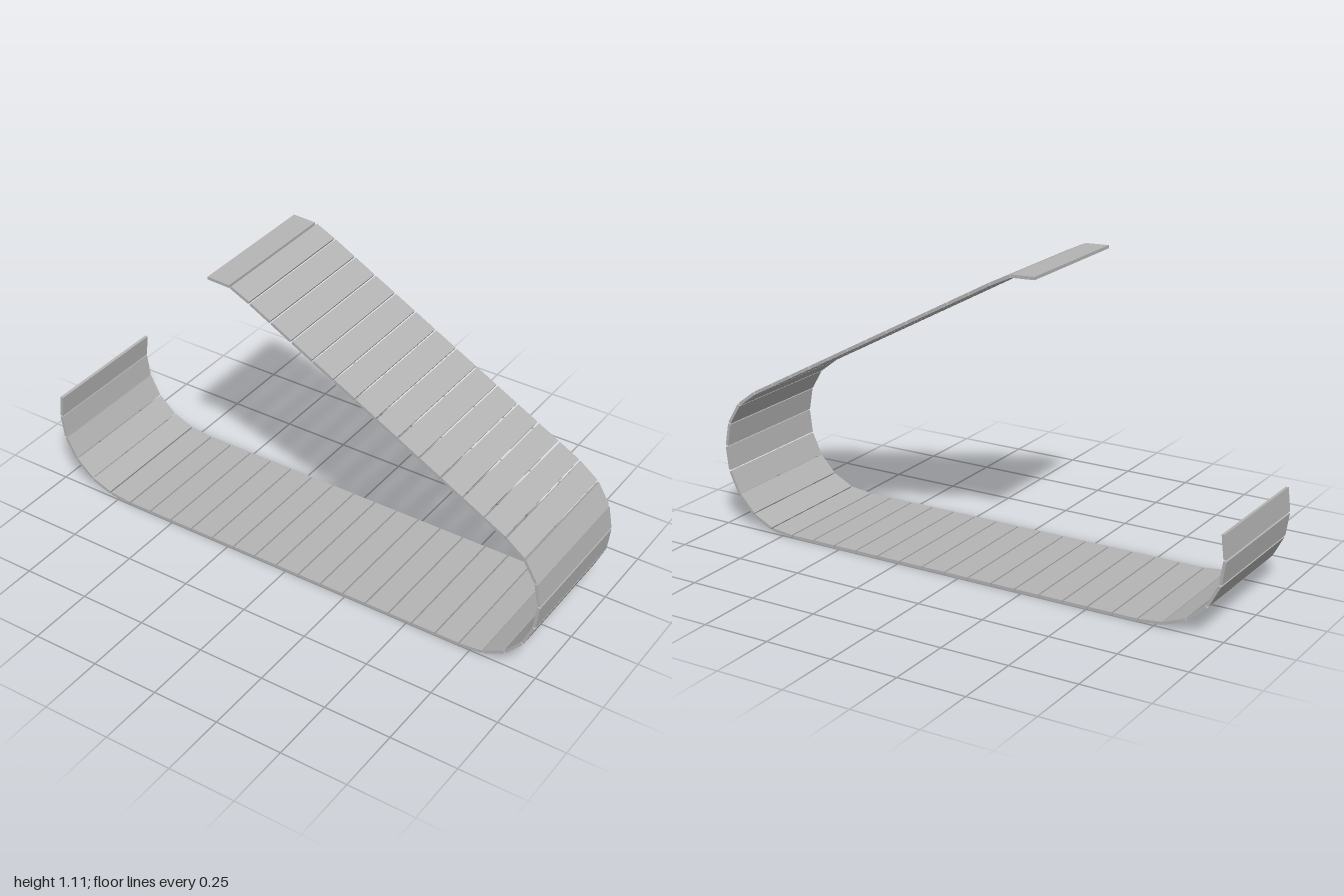
import * as THREE from 'three';

const WIDTH = 0.5, THICKNESS = 0.011, GAP = 0.006;

// Joints of the belt in the xy plane, from the free upper end round to the free left end
function beltJoints() {
  const joints = [[-0.298, 1.102], [-0.205, 1.098]];
  // straight sloping run
  for (let i = 0; i <= 12; i++) joints.push([-0.128 + 0.082 * i, 1.061 - 0.0447 * i]);
  // right-hand bend
  joints.push([0.929, 0.469], [0.976, 0.39], [0.992, 0.3], [0.981, 0.208],
    [0.942, 0.124], [0.88, 0.057], [0.799, 0.016]);
  // flat lower run
  for (let i = 0; i <= 15; i++) joints.push([0.708 - 0.0933 * i, 0.006]);
  // left-hand bend
  joints.push([-0.784, 0.016], [-0.866, 0.048], [-0.937, 0.111], [-0.98, 0.192],
    [-0.994, 0.28], [-0.984, 0.37]);
  return joints;
}

export function createModel() {
  const model = new THREE.Group();
  model.name = 'trackBelt';
  const steel = new THREE.MeshStandardMaterial({ color: 0xb4b4b4 });
  steel.name = 'grey steel';

  // One flat plate between each pair of joints, with a narrow gap at the ends
  const joints = beltJoints();
  for (let i = 0; i < joints.length - 1; i++) {
    const [x0, y0] = joints[i], [x1, y1] = joints[i + 1];
    const length = Math.hypot(x1 - x0, y1 - y0) - GAP;
    const plate = new THREE.Mesh(new THREE.BoxGeometry(length, THICKNESS, WIDTH), steel);
    plate.position.set((x0 + x1) / 2, (y0 + y1) / 2, 0);
    plate.rotation.z = Math.atan2(y1 - y0, x1 - x0);
    plate.name = `trackPlate${i + 1}`;
    model.add(plate);
  }
  return model;
}
